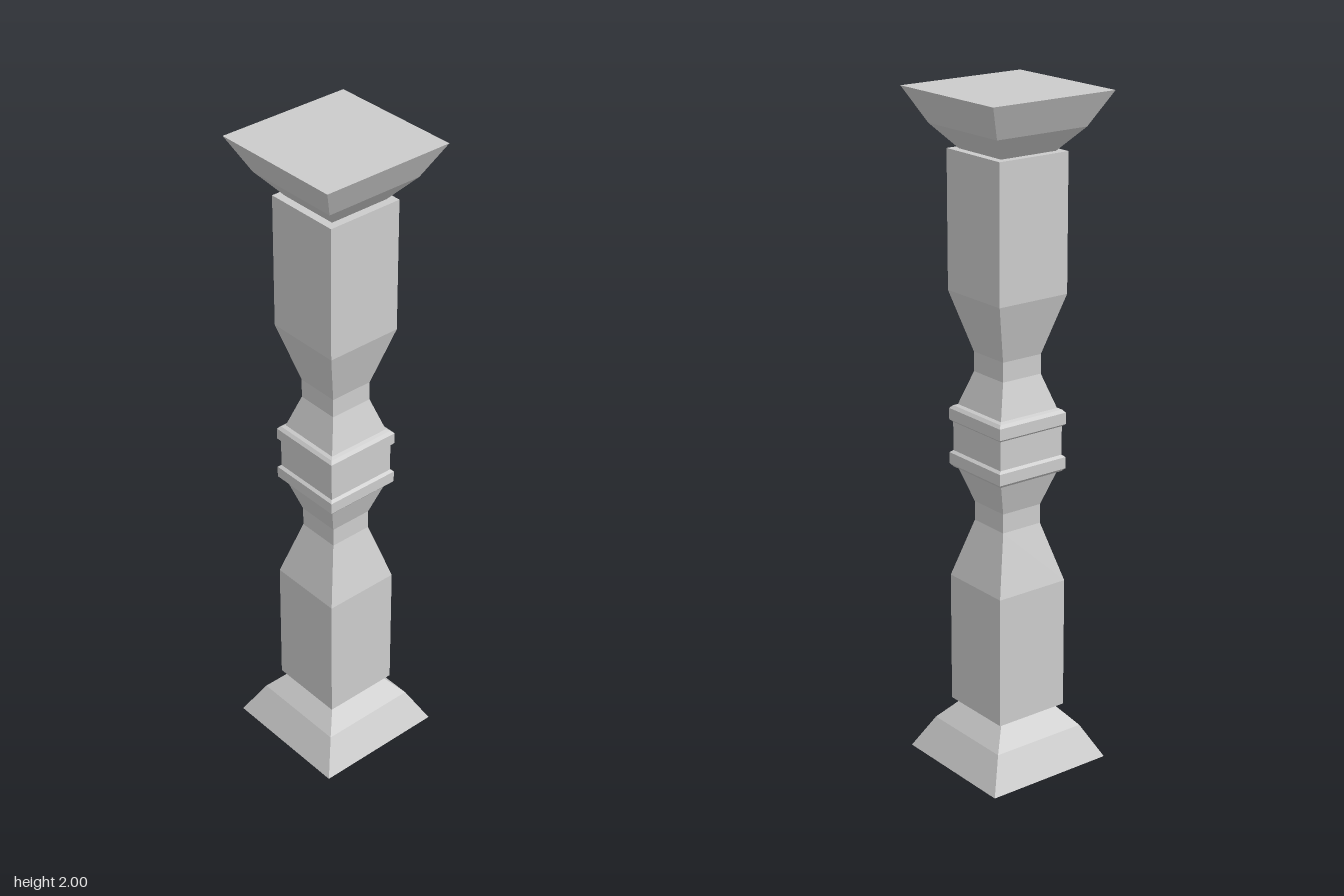
import * as THREE from 'three';

const material = new THREE.MeshStandardMaterial({ color: 0xcccccc, flatShading: true });

// Square-section solid from [half width, height] pairs listed bottom to top, capped at both ends
function squareTurned(name, profile) {
  const points = [[0, profile[0][1]], ...profile, [0, profile[profile.length - 1][1]]]
    .map(([half, y]) => new THREE.Vector2(half * Math.SQRT2, y));
  const geometry = new THREE.LatheGeometry(points, 4, Math.PI / 4).toNonIndexed();
  geometry.computeVertexNormals();
  const mesh = new THREE.Mesh(geometry, material);
  mesh.name = name;
  return mesh;
}

// Flip a profile about mid height (y = 1)
const mirrored = (profile) => profile.map(([half, y]) => [half, 2 - y]).reverse();

export function createModel() {
  const group = new THREE.Group();
  group.name = 'baluster';

  // Stepped foot, repeated upside down as the capital
  const foot = [[0.206, 0], [0.153, 0.1], [0.094, 0.168]];
  // Square shaft with a tapered neck flaring out to the central band
  const shaft = [[0.118, 0.168], [0.118, 0.568], [0.067, 0.745], [0.067, 0.803], [0.1, 0.903]];
  // Chamfered ring
  const ring = [[0.1, 0.903], [0.11, 0.907], [0.118, 0.916], [0.118, 0.95], [0.11, 0.957]];

  group.add(
    squareTurned('foot', foot),
    squareTurned('lowerShaft', shaft),
    squareTurned('lowerRing', ring),
    squareTurned('centreBlock', [[0.11, 0.957], [0.11, 1.043]]),
    squareTurned('upperRing', mirrored(ring)),
    squareTurned('upperShaft', mirrored(shaft)),
    squareTurned('capital', mirrored(foot)),
  );
  return group;
}
